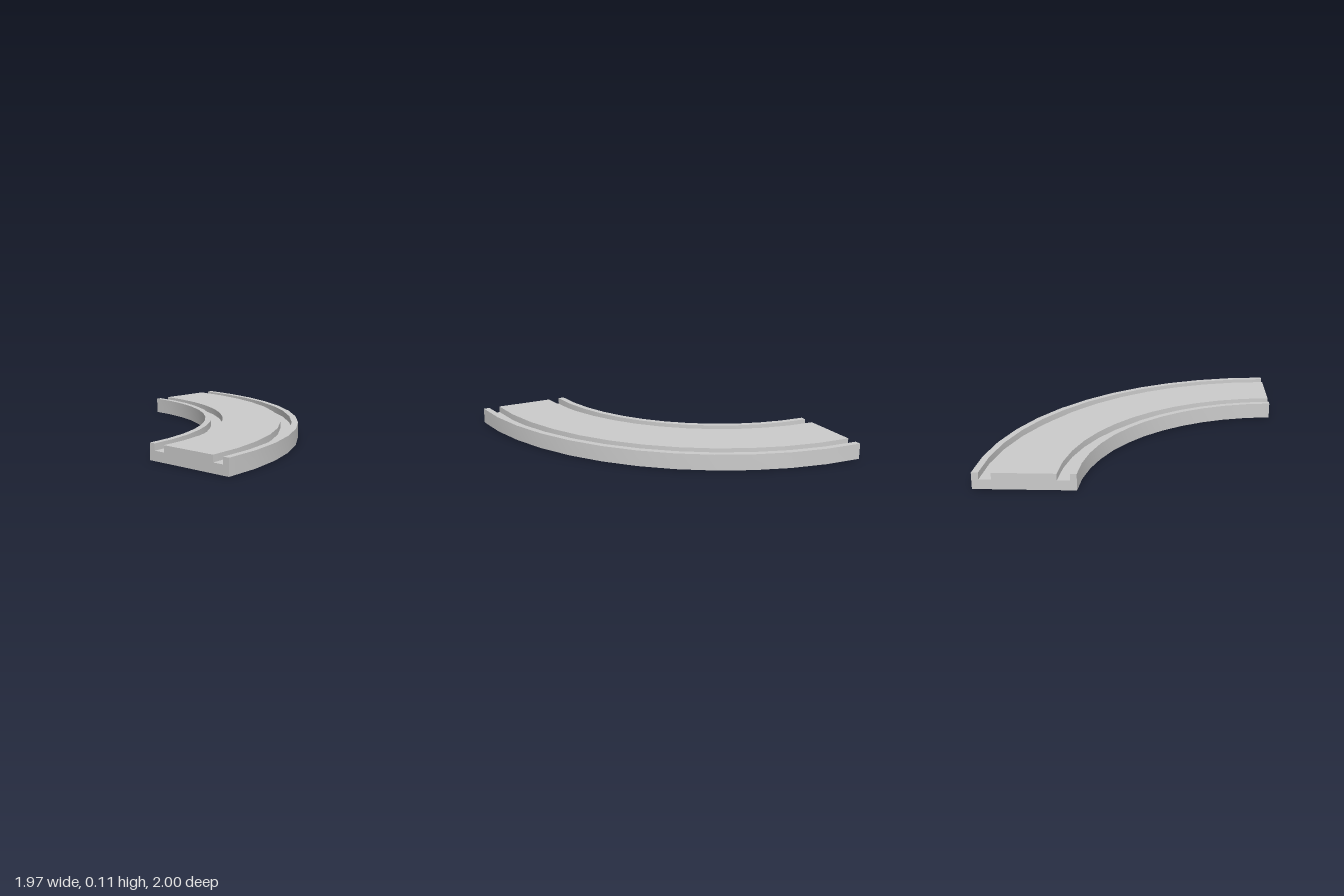
import * as THREE from 'three';
import { toCreasedNormals } from 'three/addons/utils/BufferGeometryUtils.js';

const SEGMENTS = 12;
const HEIGHT = 0.11;
const FLOOR = 0.065; // height of the groove floors

// Cross-section, counter-clockwise: distance inward from the outer rim, height
const profile = [
  [0.65, 0], [0, 0],
  [0, HEIGHT], [0.044, HEIGHT], [0.044, FLOOR], [0.122, FLOOR], // outer lip and groove
  [0.122, HEIGHT], [0.527, HEIGHT],                             // deck
  [0.527, FLOOR], [0.608, FLOOR], [0.608, HEIGHT], [0.65, HEIGHT], // inner groove and lip
];

// The bend is a quarter turn whose radius opens slightly towards the ends
function ring(t) {
  const angle = t * Math.PI / 2;
  const radius = 1.967 - 0.06 * t + 0.093 * t * t;
  return profile.map(([inset, y]) => [
    -0.985 + (radius - inset) * Math.cos(angle),
    y,
    -1 + (radius - inset) * Math.sin(angle),
  ]);
}

function sweepGeometry() {
  const rings = Array.from({ length: SEGMENTS + 1 }, (_, i) => ring(i / SEGMENTS));
  const positions = [];
  const triangle = (...corners) => corners.forEach((p) => positions.push(...p));

  // Long faces of the sweep
  for (let i = 0; i < SEGMENTS; i++) {
    const p = rings[i], q = rings[i + 1];
    for (let a = 0; a < profile.length; a++) {
      const b = (a + 1) % profile.length;
      triangle(p[a], p[b], q[b]);
      triangle(p[a], q[b], q[a]);
    }
  }

  // Flat ends
  const outline = profile.map(([inset, y]) => new THREE.Vector2(-inset, y));
  const first = rings[0], last = rings[SEGMENTS];
  for (const [a, b, c] of THREE.ShapeUtils.triangulateShape(outline, [])) {
    triangle(first[a], first[c], first[b]);
    triangle(last[a], last[b], last[c]);
  }

  const geometry = new THREE.BufferGeometry();
  geometry.setAttribute('position', new THREE.Float32BufferAttribute(positions, 3));
  return toCreasedNormals(geometry, Math.PI / 6);
}

export function createModel() {
  const group = new THREE.Group();
  group.name = 'curvedTrack';
  const track = new THREE.Mesh(
    sweepGeometry(),
    new THREE.MeshStandardMaterial({ color: 0xcccccc }),
  );
  track.name = 'groovedTrackBed';
  group.add(track);
  return group;
}
